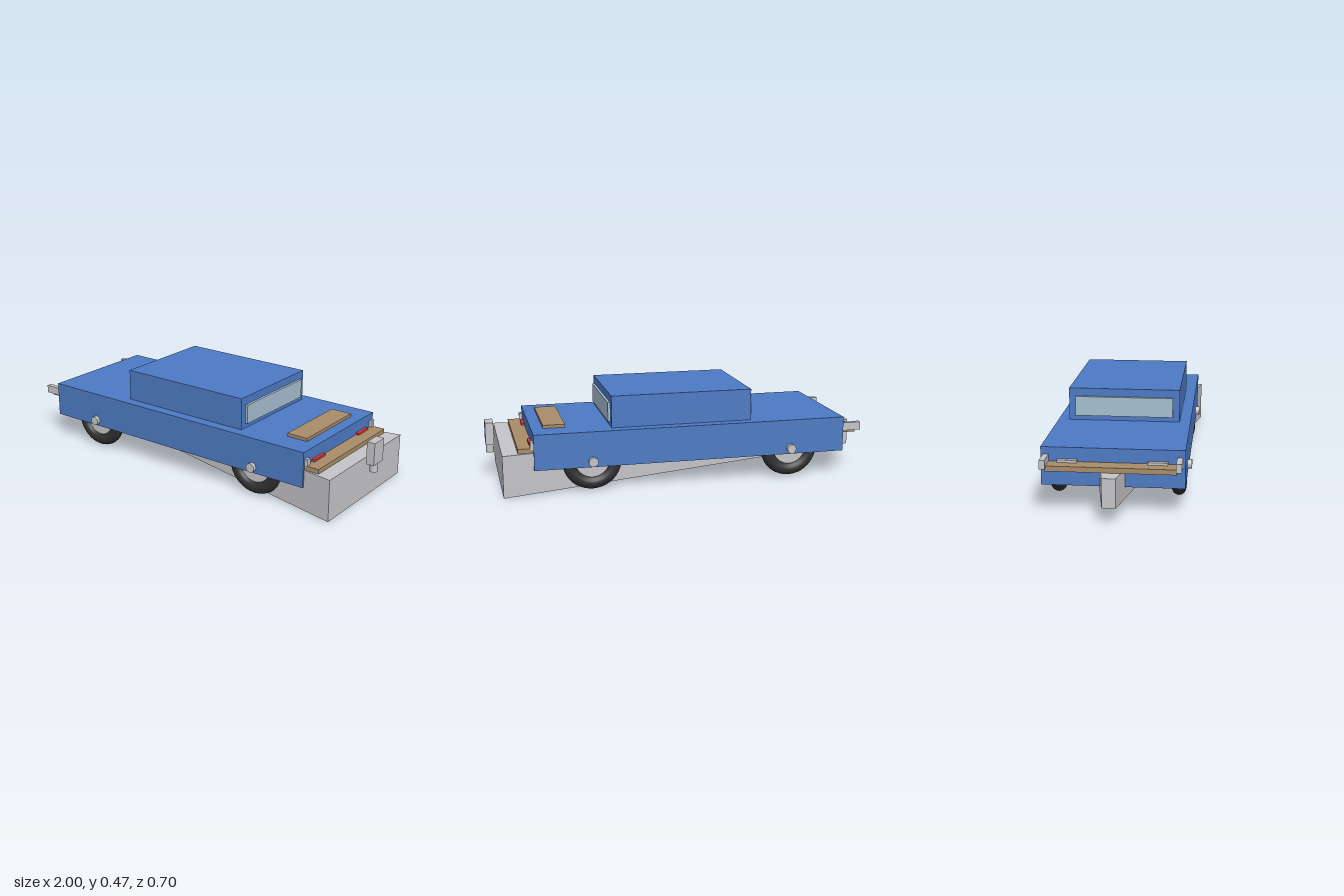
import * as THREE from 'three';

const paint = (name, color) => {
  const m = new THREE.MeshStandardMaterial({ color });
  m.name = name;
  return m;
};

export function createModel() {
  const blue = paint('blue paint', 0x4d7ac4);
  const grey = paint('light grey', 0xc5c5c9);
  const tan = paint('tan trim', 0xa88c69);
  const glass = paint('pale glass', 0xa5bfce);
  const red = paint('red lamp', 0xdc3a3c);
  const rubber = paint('black rubber', 0x303032);

  const model = new THREE.Group();
  model.name = 'car';

  const add = (name, geometry, material, parent = model) => {
    const mesh = new THREE.Mesh(geometry, material);
    mesh.name = name;
    parent.add(mesh);
    return mesh;
  };
  // Box given by its limits along each axis
  const box = (name, material, [x0, x1], [y0, y1], [z0, z1]) => {
    const g = new THREE.BoxGeometry(x1 - x0, y1 - y0, z1 - z0);
    g.translate((x0 + x1) / 2, (y0 + y1) / 2, (z0 + z1) / 2);
    return add(name, g, material);
  };

  // Body and cabin
  box('body', blue, [-0.845, 0.78], [0.125, 0.307], [-0.333, 0.334]);
  box('cabin', blue, [-0.35, 0.382], [0.3, 0.47], [-0.278, 0.279]);
  box('rearWindow', glass, [0.38, 0.395], [0.332, 0.43], [-0.245, 0.245]);
  box('windshield', glass, [-0.365, -0.348], [0.332, 0.43], [-0.245, 0.245]);
  box('trunkPanel', tan, [0.607, 0.72], [0.305, 0.323], [-0.209, 0.21]);

  // Bumpers
  box('rearBumper', tan, [0.775, 0.857], [0.213, 0.237], [-0.32, 0.322]);
  box('frontBumper', tan, [-0.925, -0.84], [0.215, 0.24], [-0.3, 0.3]);

  // Lamps and bumper posts on both sides
  const sides = { left: 1, right: -1 };
  for (const [side, s] of Object.entries(sides)) {
    const span = (a, b) => (s > 0 ? [a, b] : [-b, -a]);
    box(side + 'TailLamp', red, [0.775, 0.796], [0.225, 0.248], span(0.162, 0.259));
    box(side + 'HeadLamp', grey, [-0.867, -0.84], [0.225, 0.252], span(0.162, 0.255));
    box(side + 'RearPost', grey, [0.775, 0.796], [0.23, 0.272], span(0.298, 0.322));
    box(side + 'FrontPost', grey, [-0.945, -0.84], [0.23, 0.272], span(0.296, 0.322));
  }

  // Tapered underbody: wide and deep at +x, narrow and shallow at -x
  const wedge = new THREE.BoxGeometry(2, 2, 2);
  const p = wedge.attributes.position;
  for (let i = 0; i < p.count; i++) {
    const wide = p.getX(i) > 0;
    const bottom = wide ? 0 : 0.075;
    p.setXYZ(i, wide ? 0.935 : -1, p.getY(i) > 0 ? 0.214 : bottom, p.getZ(i) * (wide ? 0.35 : 0.032));
  }
  wedge.computeVertexNormals();
  add('underbody', wedge, grey);

  // Upright block on a short stem behind the tail
  box('tailBlock', grey, [0.955, 0.997], [0.195, 0.311], [-0.046, 0.046]);
  add('tailStem', new THREE.CylinderGeometry(0.02, 0.02, 0.05, 16), grey).position.set(0.975, 0.172, 0);

  // Wheels
  const tireGeometry = new THREE.TorusGeometry(0.118, 0.034, 16, 40);
  const rimGeometry = new THREE.CylinderGeometry(0.092, 0.092, 0.03, 32).rotateX(Math.PI / 2);
  const capGeometry = new THREE.CylinderGeometry(0.024, 0.024, 0.075, 16).rotateX(Math.PI / 2);
  const addWheel = (name, x, z) => {
    const wheel = new THREE.Group();
    wheel.name = name;
    wheel.position.set(x, 0.155, z);
    add('tire', tireGeometry, rubber, wheel);
    add('rim', rimGeometry, grey, wheel);
    model.add(wheel);
    return wheel;
  };
  for (const [side, s] of Object.entries(sides)) {
    for (const [end, x] of [['Front', -0.555], ['Rear', 0.487]]) {
      const wheel = addWheel(side + end + 'Wheel', x, s * 0.293);
      add('hubCap', capGeometry, grey, wheel).position.z = s * 0.022;
    }
  }
  addWheel('frontCentreWheel', -0.27, 0);
  addWheel('rearCentreWheel', 0.2, 0);

  // Small ring of splayed prongs under the middle
  const prongs = new THREE.Group();
  prongs.name = 'prongs';
  prongs.position.set(-0.035, 0.045, 0);
  for (let i = 0; i < 8; i++) {
    const arm = new THREE.Group();
    arm.rotation.y = (i * Math.PI) / 4;
    const prong = add('prong', new THREE.CylinderGeometry(0.004, 0.004, 0.045, 6), rubber, arm);
    prong.position.set(0.02, -0.019, 0);
    prong.rotation.z = 0.35;
    prongs.add(arm);
  }
  model.add(prongs);

  return model;
}
